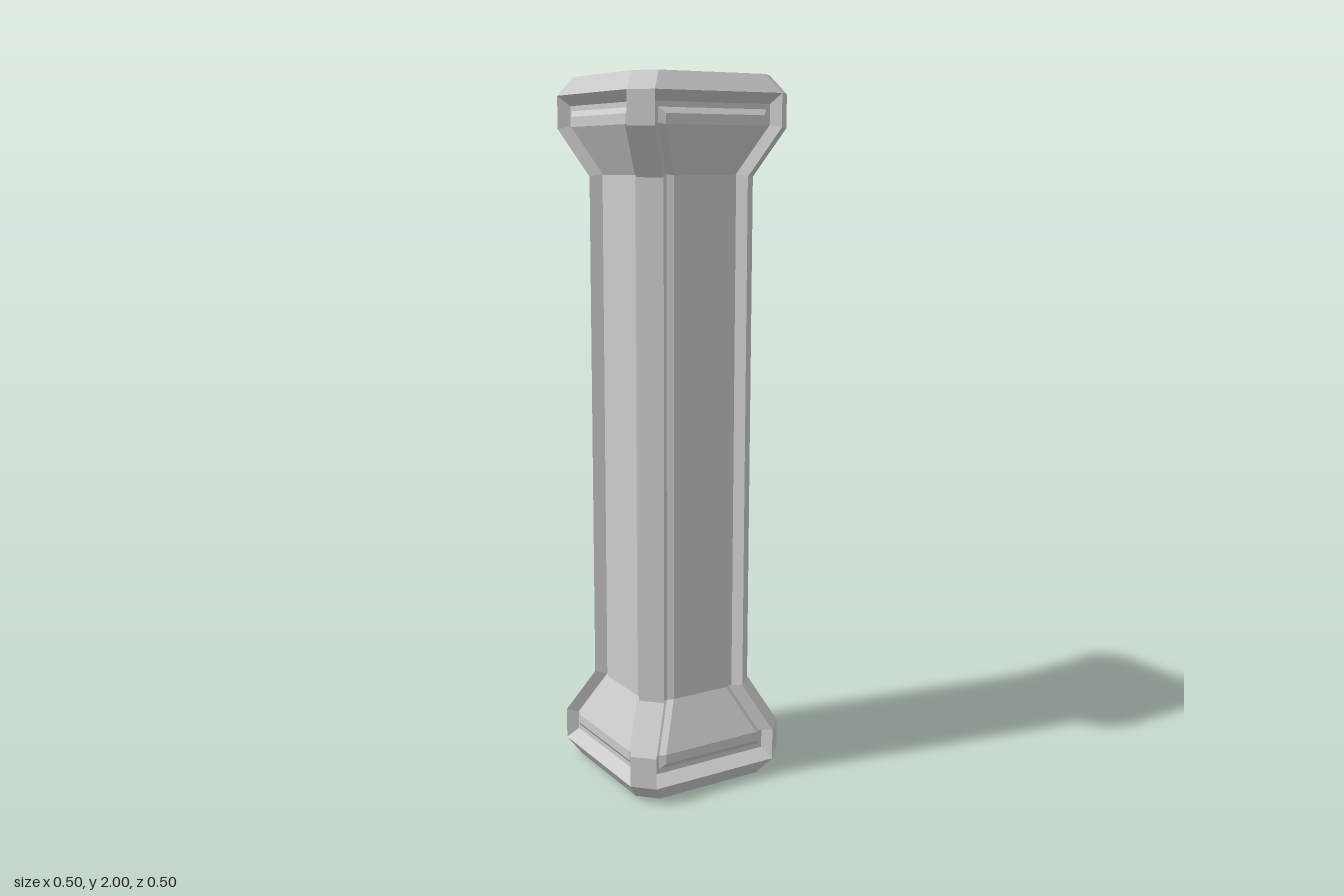
import * as THREE from 'three';

const material = new THREE.MeshStandardMaterial({ color: 0xcccccc, flatShading: true });

// Outer profile of the lower half: [y, half width, half length of the flat side]
const foot = [[0.05, 0.25, 0.197], [0.14, 0.25, 0.197], [0.27, 0.185, 0.133]];
const profile = [...foot, ...foot.map(([y, h, f]) => [2 - y, h, f]).reverse()];

// Skin quads between neighbouring rows of points, flat shaded
function bridge(rows, closed) {
  const pos = [];
  const tri = (...p) => p.forEach((q) => pos.push(...q));
  for (let r = 0; r < rows.length - 1; r++) {
    const a = rows[r], b = rows[r + 1], n = a.length;
    for (let i = 0; i < (closed ? n : n - 1); i++) {
      const j = (i + 1) % n;
      tri(a[i], a[j], b[j]);
      tri(a[i], b[j], b[i]);
    }
  }
  // A closed stack of loops ends in a flat cap
  return { pos, tri };
}

function toMesh(pos, name) {
  const geometry = new THREE.BufferGeometry();
  geometry.setAttribute('position', new THREE.Float32BufferAttribute(pos, 3));
  geometry.computeVertexNormals();
  const mesh = new THREE.Mesh(geometry, material);
  mesh.name = name;
  return mesh;
}

// Bevelled end cap with a shallow recessed top
function endCap(name) {
  const octagon = (y, h, f) => [
    [h, f], [h, -f], [f, -h], [-f, -h], [-h, -f], [-h, f], [-f, h], [f, h],
  ].map(([x, z]) => [x, y, z]);
  const rows = [
    octagon(0.95, 0.25, 0.197), octagon(1, 0.215, 0.165),
    octagon(1, 0.193, 0.147), octagon(0.992, 0.185, 0.143),
  ];
  const { pos, tri } = bridge(rows, true);
  const last = rows[3];
  for (let i = 1; i < 7; i++) tri(last[0], last[i], last[i + 1]);
  return toMesh(pos, name);
}

// Chamfered corner post following the profile
function cornerPost() {
  const rows = profile.map(([y, h, f]) => [[f, y, h], [h, y, f]]);
  return toMesh(bridge(rows, false).pos, 'cornerPost');
}

// Side: sloped frame wall, groove floor and raised bevelled panel
function sidePanel() {
  // [inset from the post, end height, depth]
  const steps = [[0, 0.05, 0], [0.017, 0.078, 0.032], [0.028, 0.092, 0.032], [0.044, 0.108, 0.02]];
  const loops = steps.map(([inset, end, depth]) => {
    const heights = [end, 0.14 - 0.24 * depth, 0.27 - 0.24 * depth];
    const ys = [...heights, ...heights.map((y) => 2 - y).reverse()];
    const right = profile.map(([, h, f], i) => [f - inset, ys[i], h - depth]);
    const left = right.map(([x, y, z]) => [-x, y, z]).reverse();
    return [...right, ...left];
  });
  const { pos } = bridge(loops, true);
  const inner = loops[3];
  const face = profile.map((_, i) => [inner[11 - i], inner[i]]);
  return toMesh([...pos, ...bridge(face, false).pos], 'sidePanel');
}

export function createModel() {
  const group = new THREE.Group();
  group.name = 'pillar';

  for (let i = 0; i < 4; i++) {
    for (const part of [sidePanel(), cornerPost()]) {
      part.rotation.y = (i * Math.PI) / 2;
      group.add(part);
    }
  }

  const top = endCap('topCap');
  const bottom = endCap('bottomCap');
  top.position.y = bottom.position.y = 1;
  bottom.rotation.x = Math.PI;
  group.add(top, bottom);
  return group;
}
